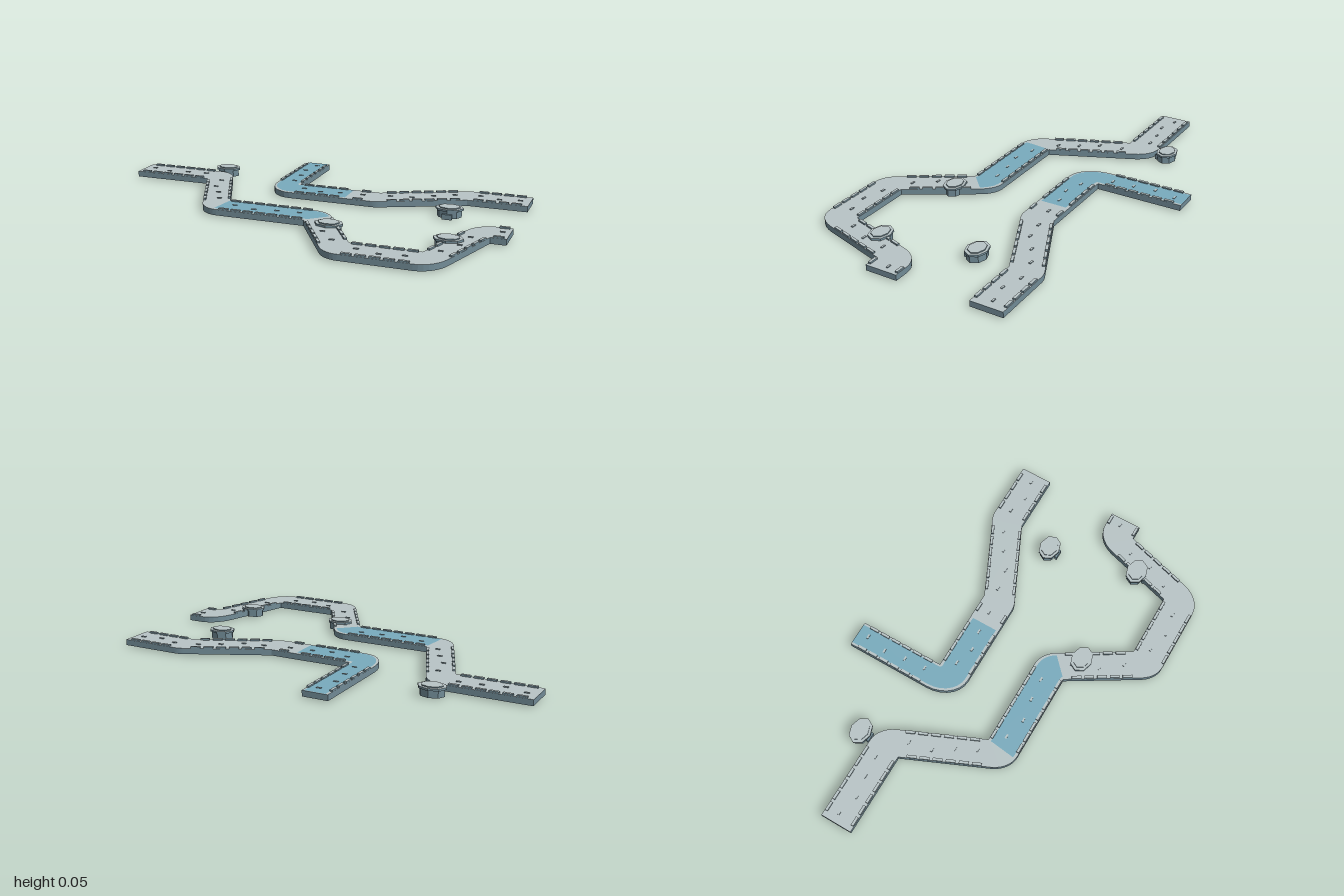
import * as THREE from 'three';

const SX = 0.8;      // walls are narrower across x than across z
const WIDTH = 0.155;
const BASE = 0.006, DECK = 0.034;

const stone = new THREE.MeshStandardMaterial({ color: 0xb8c4c6 });
stone.name = 'paleStone';
const slate = new THREE.MeshStandardMaterial({ color: 0x718b96, side: THREE.DoubleSide });
slate.name = 'slateSide';
const blue = new THREE.MeshStandardMaterial({ color: 0x79abbd });
blue.name = 'bluePaving';
const capped = [slate, slate, stone, slate, slate, slate];

// Sweeps a profile of [across 0..1, height] along a list of stations
function sweep(name, stations, profile, material) {
  const pos = [];
  const at = (s, [t, y]) => [s.l[0] + (s.r[0] - s.l[0]) * t, y, s.l[1] + (s.r[1] - s.l[1]) * t];
  for (let i = 0; i + 1 < stations.length; i++) {
    for (let j = 0; j + 1 < profile.length; j++) {
      const a = at(stations[i], profile[j]), b = at(stations[i], profile[j + 1]);
      const c = at(stations[i + 1], profile[j + 1]), d = at(stations[i + 1], profile[j]);
      pos.push(...a, ...b, ...c, ...a, ...c, ...d);
    }
  }
  const geo = new THREE.BufferGeometry();
  geo.setAttribute('position', new THREE.Float32BufferAttribute(pos, 3));
  geo.computeVertexNormals();
  const mesh = new THREE.Mesh(geo, material);
  mesh.name = name;
  return mesh;
}

// Box from y0 to y1 whose length runs along the direction (dx, dz)
function block(name, [x, z], [dx, dz], len, wid, y0, y1, material) {
  const mesh = new THREE.Mesh(new THREE.BoxGeometry(len, y1 - y0, wid), material);
  mesh.position.set(x, (y0 + y1) / 2, z);
  mesh.rotation.y = -Math.atan2(dz, dx);
  mesh.name = name;
  return mesh;
}

const mix = (a, b, t) => [a[0] + (b[0] - a[0]) * t, a[1] + (b[1] - a[1]) * t];
const sub = (a, b) => [a[0] - b[0], a[1] - b[1]];

// Cross-stations of a wall that turns round inner corners [x, z, side]
function layOut(corners) {
  const p = corners.map(([x, z, s]) => ({ x: x / SX, z, s }));
  const angles = [];
  for (let i = 0; i + 1 < p.length; i++) {
    const dx = p[i + 1].x - p[i].x, dz = p[i + 1].z - p[i].z;
    const k = (p[i + 1].s - p[i].s) * WIDTH / (2 * Math.hypot(dx, dz));
    angles.push(Math.atan2(dz, dx) - Math.asin(Math.max(-1, Math.min(1, k))));
  }
  const station = (c, ang) => {
    const inner = [c.x * SX, c.z];
    const outer = [(c.x + c.s * Math.sin(ang) * WIDTH) * SX, c.z - c.s * Math.cos(ang) * WIDTH];
    return c.s > 0 ? { l: outer, r: inner } : { l: inner, r: outer };
  };
  const stations = [], segments = [], first = [], last = [];
  p.forEach((c, i) => {
    const a = angles[Math.max(0, i - 1)], b = angles[Math.min(i, angles.length - 1)];
    const steps = Math.abs(b - a) < 0.02 ? 0 : 7;
    first.push(stations.length);
    for (let k = 0; k <= steps; k++) stations.push(station(c, steps ? a + (b - a) * k / steps : b));
    last.push(stations.length - 1);
  });
  for (let i = 0; i + 1 < p.length; i++) segments.push([stations[last[i]], stations[first[i + 1]]]);
  return { stations, segments, first, last };
}

function buildWall(name, corners, blueRange) {
  const g = new THREE.Group();
  g.name = name;
  const plan = layOut(corners);
  const { stations, segments } = plan;

  // Hollow body, walkway and painted paving
  g.add(sweep('wallBody', stations, [[1, DECK], [1, BASE], [0.93, BASE], [0.93, 0.022],
    [0.07, 0.022], [0.07, BASE], [0, BASE], [0, DECK]], slate));
  g.add(sweep('walkway', stations, [[0, DECK], [1, DECK]], stone));
  const [from, to] = blueRange(plan);
  g.add(sweep('bluePaving', stations.slice(from, to + 1), [[0.09, 0.0355], [0.91, 0.0355]], blue));

  // End walls
  for (const [s, q] of [[stations[0], stations[1]], [stations.at(-1), stations.at(-2)]]) {
    const across = sub(s.r, s.l), mid = mix(s.l, s.r, 0.5);
    const dir = sub(mix(q.l, q.r, 0.5), mid), n = Math.hypot(...dir);
    g.add(block('endWall', [mid[0] + dir[0] / n * 0.005, mid[1] + dir[1] / n * 0.005],
      across, Math.hypot(...across), 0.01, BASE, DECK - 0.001, slate));
  }

  for (const [a, b] of segments) {
    // Battlements along both edges
    for (const [key, other] of [['l', 'r'], ['r', 'l']]) {
      const dir = sub(b[key], a[key]), len = Math.hypot(...dir);
      const count = Math.max(1, Math.floor((len - 0.01) / 0.06));
      for (let i = 0; i < count; i++) {
        const t = 0.5 + (i - (count - 1) / 2) * 0.06 / len;
        const inward = mix(mix(a[key], b[key], t), mix(a[other], b[other], t), 0.055);
        g.add(block('battlement', inward, dir, 0.045, 0.013, DECK, 0.042, capped));
      }
    }
    // Loose paving stones and the ribs underneath
    const ca = mix(a.l, a.r, 0.5), cb = mix(b.l, b.r, 0.5);
    const dir = sub(cb, ca), len = Math.hypot(...dir);
    const studs = Math.max(1, Math.round(len / 0.11));
    for (let i = 0; i < studs; i++) {
      const t = (i + 0.5) / studs, u = [0.42, 0.6, 0.48][i % 3];
      g.add(block('pavingStone', mix(mix(a.l, b.l, t), mix(a.r, b.r, t), u),
        [1, 0], 0.022, 0.009, DECK, 0.038, capped));
    }
    const ribs = Math.round(len / 0.035);
    for (let i = 0; i < ribs; i++) {
      const t = (i + 0.5) / ribs;
      const l = mix(a.l, b.l, t), r = mix(a.r, b.r, t), across = sub(r, l);
      g.add(block('rib', mix(l, r, 0.5), across, Math.hypot(...across) * 0.88, 0.01, 0.015, 0.0225, slate));
    }
  }
  return g;
}

// Eight-sided tower, hollow below, with a wider cap and a small door
function buildTower(x, z) {
  const g = new THREE.Group();
  g.name = 'tower';
  const drum = (name, r, y0, y1, open) => {
    const geo = new THREE.CylinderGeometry(r, r, y1 - y0, 8, 1, open).toNonIndexed();
    geo.computeVertexNormals();
    const side = 8 * 6;
    geo.clearGroups();
    geo.addGroup(0, side, 0);
    if (!open) {
      geo.addGroup(side, 24, 1);
      geo.addGroup(side + 24, 24, 0);
    }
    const mesh = new THREE.Mesh(geo, [slate, stone]);
    mesh.position.y = (y0 + y1) / 2;
    mesh.scale.z = 0.76;
    mesh.name = name;
    g.add(mesh);
  };
  drum('towerDrum', 0.058, 0.003, 0.037, true);
  drum('towerCap', 0.066, 0.036, 0.046, false);
  drum('towerTop', 0.05, 0.046, 0.051, false);
  g.add(block('door', [0, 0.047], [1, 0], 0.046, 0.012, 0, 0.024, slate));
  g.position.set(x, 0, z);
  return g;
}

export function createModel() {
  const model = new THREE.Group();
  model.name = 'fortressWalls';
  model.add(buildWall('longWall', [
    [-1, -0.18, 1], [-0.6, -0.18, 1], [-0.32, 0.135, -1], [0.11, 0.29, 1],
    [0.4, 0.51, -1], [0.715, 0.51, -1], [0.93, 0.23, 1], [1, 0.23, 1],
  ], (plan) => [plan.last[2] - 1, plan.last[3]]));
  model.add(buildWall('shortWall', [
    [-0.118, -0.67, -1], [-0.118, -0.25, -1], [0.165, -0.25, -1],
    [0.295, -0.25, -1], [0.715, -0.28, 1], [1, -0.28, 1],
  ], (plan) => [0, plan.first[2]]));
  for (const [x, z] of [[-0.582, -0.393], [0.675, -0.1], [0.24, 0.317], [0.775, 0.33]]) {
    model.add(buildTower(x, z));
  }
  return model;
}
